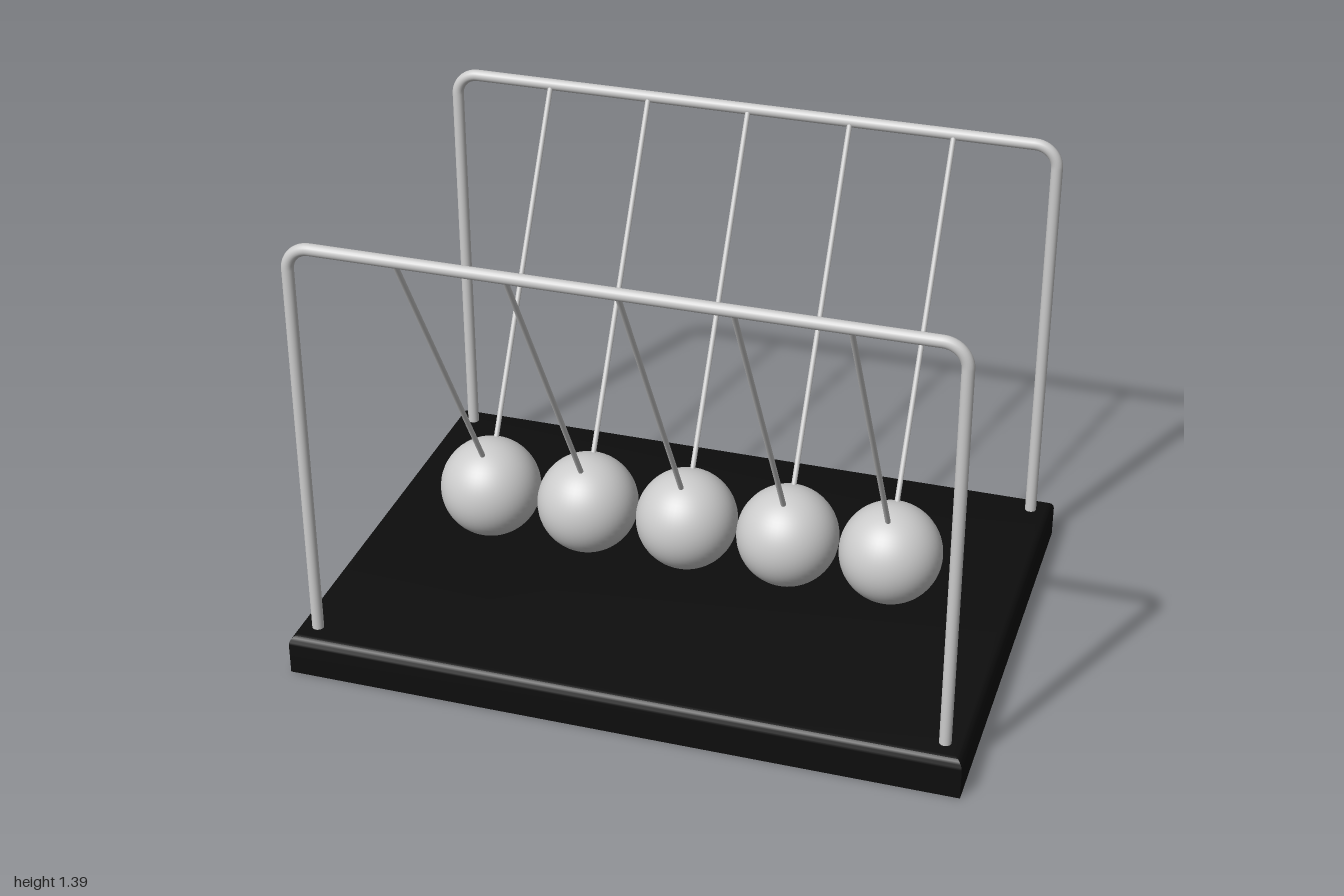
import * as THREE from 'three';
import { toCreasedNormals } from 'three/addons/utils/BufferGeometryUtils.js';

const BASE_H = 0.125;
const ROD_R = 0.0175, BEND = 0.068, ROD_X = 0.937, ROD_Y = 1.368, ROD_Z = 0.627;
const BALL_R = 0.154, BALL_Y = 0.296, SPACING = 0.314;

const metal = new THREE.MeshStandardMaterial({ color: 0xcccccc });
const black = new THREE.MeshStandardMaterial({ color: 0x0d0d0d });

function addMesh(parent, name, geometry, material = metal) {
  const mesh = new THREE.Mesh(geometry, material);
  mesh.name = name;
  parent.add(mesh);
  return mesh;
}

// Round bar between two points
function addBar(parent, name, a, b, radius, sides) {
  const dir = b.clone().sub(a);
  const bar = addMesh(parent, name, new THREE.CylinderGeometry(radius, radius, dir.length(), sides));
  bar.position.copy(a).add(b).multiplyScalar(0.5);
  bar.quaternion.setFromUnitVectors(new THREE.Vector3(0, 1, 0), dir.normalize());
}

// Slab with rounded upper edges and sharp upright corners
function baseGeometry() {
  const rows = 7, round = 0.03;
  const geo = new THREE.BoxGeometry(2, BASE_H, 1.4, 1, rows, 1);
  const p = geo.attributes.position;
  for (let i = 0; i < p.count; i++) {
    const row = Math.round((p.getY(i) / BASE_H + 0.5) * rows);
    if (row === 0) {
      p.setY(i, 0);
      continue;
    }
    const angle = ((row - 1) / (rows - 1)) * Math.PI / 2;
    const inset = round * (1 - Math.cos(angle));
    p.setXYZ(i,
      p.getX(i) - Math.sign(p.getX(i)) * inset,
      BASE_H - round + round * Math.sin(angle),
      p.getZ(i) - Math.sign(p.getZ(i)) * inset);
  }
  return toCreasedNormals(geo, 0.6);
}

// Arch of two legs, two bends and a top rail
function createFrame(name, z) {
  const frame = new THREE.Group();
  frame.name = name;
  const v = (x, y) => new THREE.Vector3(x, y, 0);
  for (const side of [-1, 1]) {
    const x = side * ROD_X;
    addBar(frame, side > 0 ? 'leftLeg' : 'rightLeg', v(x, BASE_H - 0.02), v(x, ROD_Y - BEND), ROD_R, 20);
    const bend = addMesh(frame, side > 0 ? 'leftBend' : 'rightBend',
      new THREE.TorusGeometry(BEND, ROD_R, 20, 12, Math.PI / 2));
    bend.position.set(side * (ROD_X - BEND), ROD_Y - BEND, 0);
    if (side < 0) bend.rotation.z = Math.PI / 2;
  }
  addBar(frame, 'topRail', v(BEND - ROD_X, ROD_Y), v(ROD_X - BEND, ROD_Y), ROD_R, 20);
  frame.position.z = z;
  return frame;
}

// Ball hung on a pair of sloping strings
function createPendulum(x) {
  const pendulum = new THREE.Group();
  pendulum.name = 'pendulum';
  addMesh(pendulum, 'ball', new THREE.SphereGeometry(BALL_R, 48, 32)).position.y = BALL_Y;
  for (const side of [-1, 1]) {
    addBar(pendulum, side > 0 ? 'frontString' : 'backString',
      new THREE.Vector3(0, 0.39, side * 0.03),
      new THREE.Vector3(0, ROD_Y - 0.006, side * (ROD_Z - 0.01)), 0.008, 12);
  }
  pendulum.position.x = x;
  return pendulum;
}

export function createModel() {
  const model = new THREE.Group();
  model.name = 'swingingBalls';
  addMesh(model, 'base', baseGeometry(), black);
  model.add(createFrame('frontFrame', ROD_Z), createFrame('backFrame', -ROD_Z));
  for (let i = -2; i <= 2; i++) model.add(createPendulum(i * SPACING));
  return model;
}
